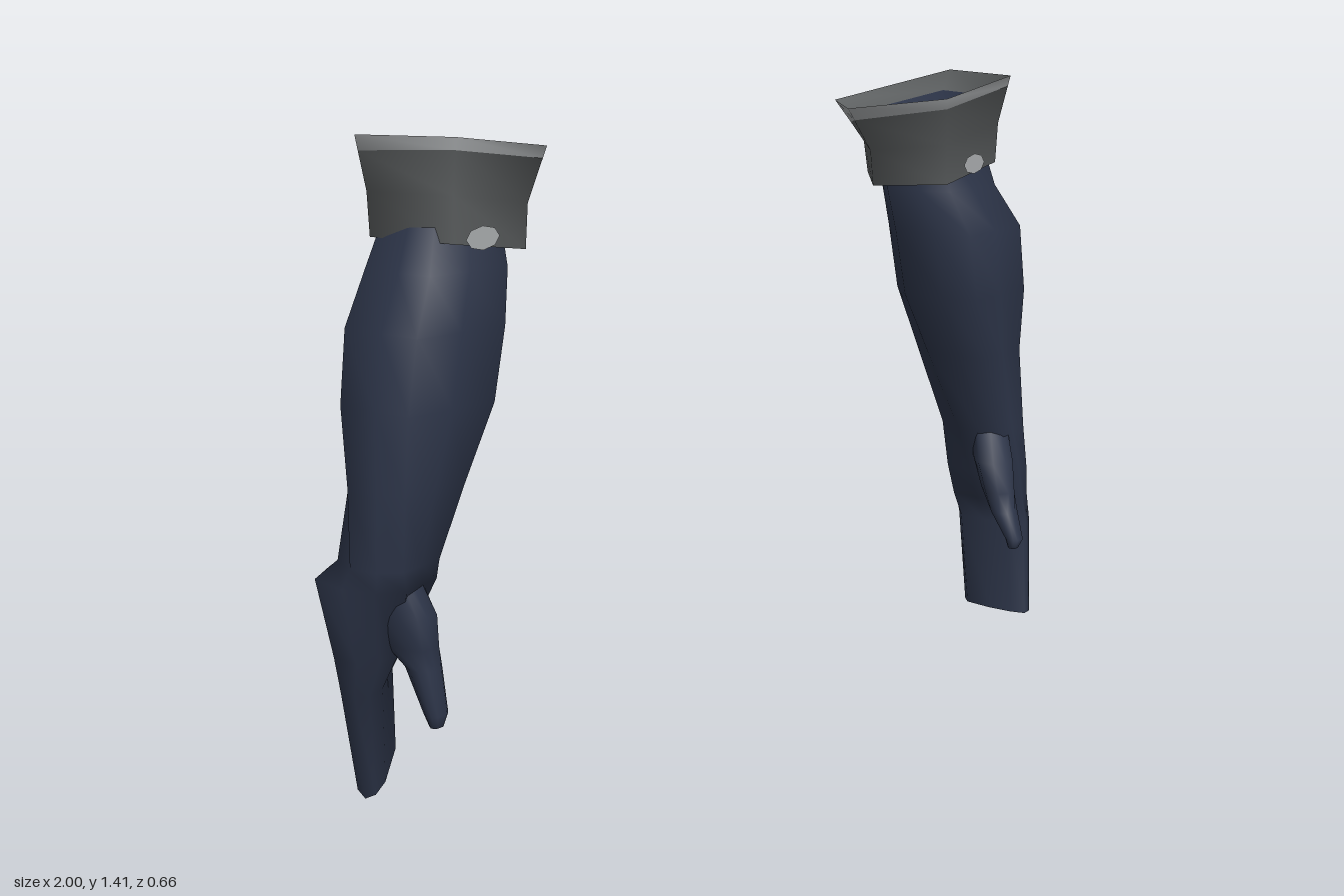
import * as THREE from 'three';

const navy = new THREE.MeshStandardMaterial({ color: 0x2d3549 });
navy.name = 'navy cloth';
const grey = new THREE.MeshStandardMaterial({ color: 0x5b5e5f });
grey.name = 'grey cuff';
const pale = new THREE.MeshStandardMaterial({ color: 0xa8abad });
pale.name = 'pale trim';

// Unit cross-sections: five-sided forearm (apex at the back) and rounded hand
const ARM = [[1, -0.1], [0.83, 0.5], [0.62, 1], [0, 1], [-0.62, 1],
  [-0.83, 0.5], [-1, -0.1], [-0.55, -0.6], [0, -1], [0.55, -0.6]];
const HAND = [[1, -0.05], [0.88, 0.6], [0.5, 1], [0, 1], [-0.5, 1],
  [-0.88, 0.6], [-1, -0.05], [-0.75, -0.8], [0, -1], [0.75, -0.8]];

// Skin rings of points, listed top to bottom for outward faces.
// cap: optional centre point that closes the last ring with its own flat fan.
function loft(name, rings, material, cap) {
  const n = rings[0].length;
  const pos = rings.flat().flatMap((p) => [p.x, p.y, p.z]);
  const index = [];
  for (let i = 0; i < rings.length - 1; i++) {
    for (let j = 0; j < n; j++) {
      const k = (j + 1) % n;
      const a = i * n + j, b = i * n + k, c = a + n, d = b + n;
      index.push(a, b, c, b, d, c);
    }
  }
  if (cap) {
    const start = pos.length / 3;
    for (const p of [...rings[rings.length - 1], cap]) pos.push(p.x, p.y, p.z);
    for (let j = 0; j < n; j++) index.push(start + n, start + j, start + ((j + 1) % n));
  }
  const g = new THREE.BufferGeometry();
  g.setAttribute('position', new THREE.Float32BufferAttribute(pos, 3));
  g.setIndex(index);
  g.computeVertexNormals();
  const mesh = new THREE.Mesh(g, material);
  mesh.name = name;
  return mesh;
}

function centre(ring) {
  const c = new THREE.Vector3();
  ring.forEach((p) => c.add(p));
  return c.divideScalar(ring.length);
}

// Section: height, centre x and z, radii, arm-to-hand blend, turn in degrees, slope
function section([y, cx, cz, rx, rz, blend = 1, turn = 0, slope = 0]) {
  const t = THREE.MathUtils.degToRad(turn);
  return ARM.map(([au, av], j) => {
    const u = THREE.MathUtils.lerp(au, HAND[j][0], blend);
    const v = THREE.MathUtils.lerp(av, HAND[j][1], blend);
    return new THREE.Vector3(
      cx + u * rx * Math.cos(t) - v * rz * Math.sin(t),
      y + slope * u,
      cz + u * rx * Math.sin(t) + v * rz * Math.cos(t));
  });
}

function limb(name, rows) {
  const rings = rows.map(section);
  return loft(name, rings, navy, centre(rings[rings.length - 1]));
}

// Five-sided flared cuff with pale rim and sunken navy lining
function cuff(topRows, bottomRows, spot) {
  const group = new THREE.Group();
  group.name = 'cuff';
  const vec = ([x, y, z]) => new THREE.Vector3(x, y, z);
  const top = topRows.map(vec), bottom = bottomRows.map(vec);
  const mid = bottom.map((p, i) => {
    const m = p.clone().lerp(top[i], 0.13);
    m.y = THREE.MathUtils.lerp(p.y, top[i].y, 0.45);
    return m;
  });
  const trim = [0.28, 0.22, 0.22, 0.28, 0.55];
  const edge = top.map((p, i) => p.clone().lerp(mid[i], trim[i]));
  const c = centre(top);
  const inward = (f, drop) => top.map((p) => {
    const q = p.clone().lerp(c, f);
    q.y -= drop;
    return q;
  });
  const lip = inward(0.21, 0.04);
  group.add(
    loft('cuffTrim', [top, edge], pale),
    loft('cuffWall', [edge, mid, bottom], grey, centre(bottom)),
    loft('cuffInnerLip', [lip, top], grey),
    loft('cuffLining', [inward(1, 0.1), inward(0.5, 0.09), lip], navy));

  // Small pale patch on the front of the cuff
  const patch = new THREE.Mesh(new THREE.CircleGeometry(1, 8), pale);
  patch.name = 'cuffPatch';
  patch.scale.set(0.04, 0.024, 1);
  patch.position.set(spot[0], spot[1], spot[2]);
  patch.rotation.y = spot[3];
  group.add(patch);
  return group;
}

export function createModel() {
  const model = new THREE.Group();
  model.name = 'gloves';

  // Left glove: palm turned inward
  const left = new THREE.Group();
  left.name = 'leftGlove';
  left.add(
    limb('leftArmAndHand', [
      [1.24, 0.712, 0.047, 0.118, 0.12, 0],
      [1.14, 0.727, 0.05, 0.142, 0.135, 0],
      [1.04, 0.755, 0.075, 0.163, 0.16, 0],
      [0.88, 0.78, 0.082, 0.155, 0.158, 0],
      [0.72, 0.828, 0.088, 0.117, 0.13, 0.2],
      [0.52, 0.878, 0.12, 0.086, 0.1, 0.7],
      [0.4, 0.91, 0.118, 0.075, 0.098, 1, -8],
      [0.32, 0.928, 0.117, 0.062, 0.094, 1, -12],
      [0.25, 0.951, 0.117, 0.04, 0.093, 1, -14],
      [0.018, 0.933, 0.15, 0.027, 0.09, 1, -8],
    ]),
    limb('leftThumb', [
      [0.54, 0.868, 0.155, 0.045, 0.04, 1, -39],
      [0.45, 0.842, 0.187, 0.085, 0.048, 1, -39],
      [0.38, 0.824, 0.218, 0.072, 0.04, 1, -39],
      [0.335, 0.788, 0.265, 0.034, 0.03, 1, -20],
      [0.275, 0.773, 0.31, 0.022, 0.018],
      [0.25, 0.775, 0.306, 0.013, 0.01],
    ]),
    cuff(
      [[0.87, 1.4, 0], [0.78, 1.41, 0.245], [0.54, 1.375, 0.24], [0.5, 1.335, -0.02], [0.68, 1.325, -0.21]],
      [[0.855, 1.2, 0.02], [0.785, 1.2, 0.205], [0.6, 1.165, 0.2], [0.575, 1.145, 0], [0.69, 1.155, -0.11]],
      [0.69, 1.207, 0.213, 0]));

  // Right glove: hand turned back, thumb forward
  const right = new THREE.Group();
  right.name = 'rightGlove';
  right.add(
    limb('rightArmAndHand', [
      [1.24, -0.73, -0.055, 0.118, 0.11, 0, 9],
      [1.14, -0.748, -0.06, 0.142, 0.142, 0, 9],
      [1.03, -0.785, -0.057, 0.16, 0.158, 0, 9],
      [0.88, -0.814, -0.05, 0.156, 0.148, 0, 9],
      [0.72, -0.867, -0.035, 0.117, 0.12, 0.2, 5],
      [0.56, -0.9, -0.047, 0.098, 0.094, 0.7, -8],
      [0.51, -0.898, -0.09, 0.1, 0.117, 1, -14],
      [0.35, -0.88, -0.135, 0.122, 0.07, 1, -39],
      [0.25, -0.857, -0.187, 0.116, 0.045, 1, -41],
      [0.034, -0.82, -0.212, 0.095, 0.03, 1, -37, 0.036],
    ]),
    limb('rightThumb', [
      [0.54, -0.89, -0.045, 0.04, 0.05],
      [0.45, -0.88, -0.03, 0.05, 0.08],
      [0.38, -0.872, -0.02, 0.042, 0.068],
      [0.335, -0.868, 0.018, 0.035, 0.034],
      [0.24, -0.865, 0.048, 0.025, 0.02],
      [0.21, -0.862, 0.045, 0.015, 0.011],
    ]),
    cuff(
      [[-0.525, 1.335, -0.11], [-0.61, 1.375, 0.135], [-0.82, 1.41, 0.11], [-0.88, 1.4, -0.12], [-0.67, 1.325, -0.33]],
      [[-0.575, 1.145, -0.08], [-0.64, 1.17, 0.1], [-0.81, 1.2, 0.085], [-0.868, 1.2, -0.1], [-0.675, 1.155, -0.21]],
      [-0.75, 1.207, 0.1, -0.09]));

  model.add(left, right);
  return model;
}
